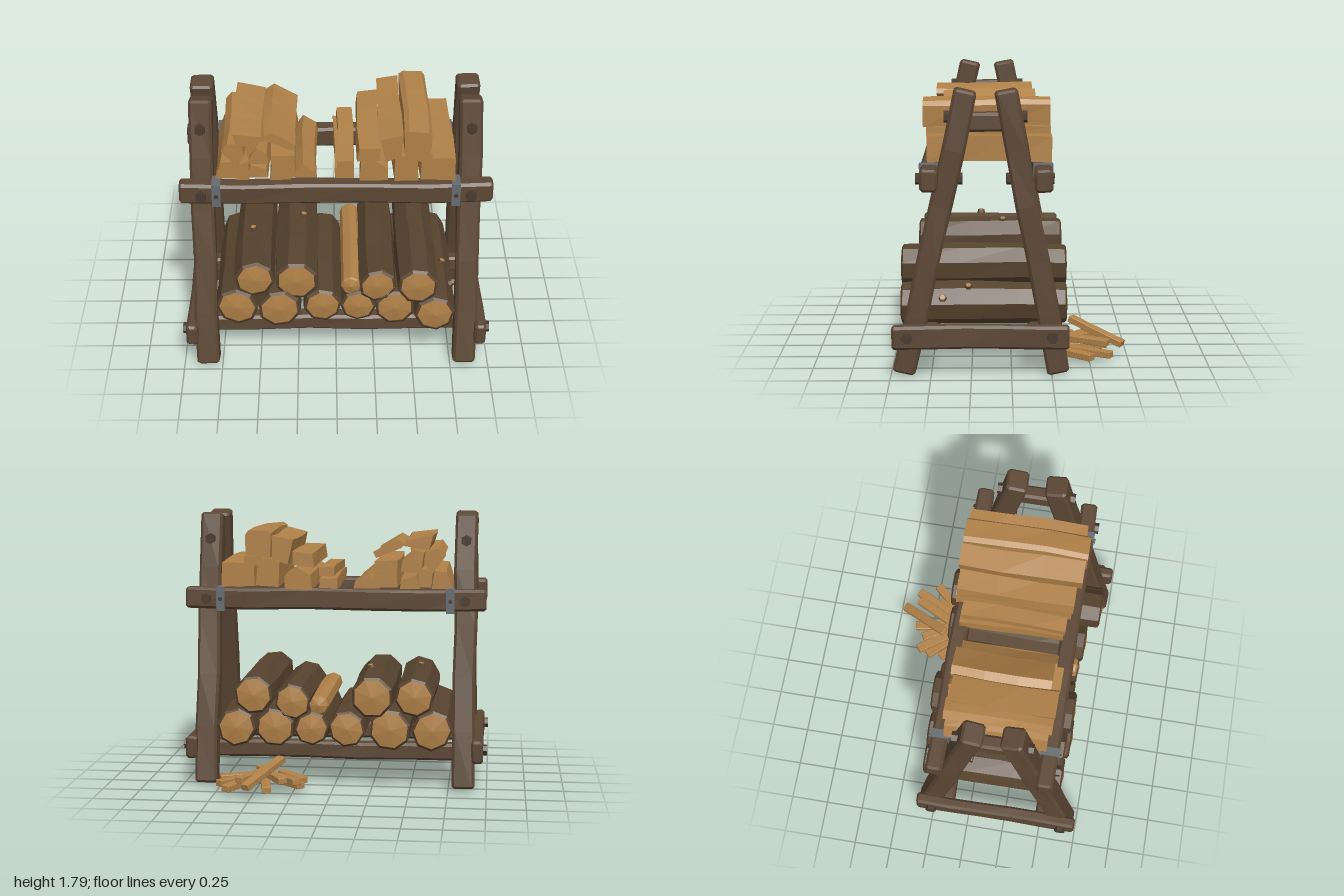
import * as THREE from 'three';

const mat = (name, color) => Object.assign(new THREE.MeshStandardMaterial({ color }), { name });
const frameWood = mat('frame wood', 0x5c4735);
const bark = mat('bark', 0x57432f);
const cutWood = mat('cut wood', 0xb08148);
const iron = mat('iron', 0x656b70);
const boltIron = mat('bolt', 0x483a2f);

// Faceted normals
function flat(geo) {
  const g = geo.index ? geo.toNonIndexed() : geo;
  g.computeVertexNormals();
  return g;
}

// Smooth position-based unevenness for hand-cut timber
function wobble(geo, amp, seed) {
  const p = geo.attributes.position;
  for (let i = 0; i < p.count; i++) {
    const x = p.getX(i), y = p.getY(i), z = p.getZ(i);
    p.setXYZ(i,
      x + amp * Math.sin(7 * z + 9 * y + seed),
      y + amp * Math.sin(6 * z + 11 * x + seed * 2.3),
      z);
  }
  return geo;
}

function add(parent, name, geo, material) {
  const m = new THREE.Mesh(flat(geo), material);
  m.name = name;
  parent.add(m);
  return m;
}

// Chamfered timber from a to b
function beam(parent, name, a, b, w, h, { c = 0.014, amp = 0.005, seed = 0, hint = [0, 1, 0], material = frameWood } = {}) {
  const A = new THREE.Vector3(...a), B = new THREE.Vector3(...b);
  const L = A.distanceTo(B), x = w / 2 - c, y = h / 2 - c, k = c * 0.6;
  const s = new THREE.Shape([
    [-x + k, -y], [x - k, -y], [x, -y + k], [x, y - k], [x - k, y], [-x + k, y], [-x, y - k], [-x, -y + k],
  ].map(q => new THREE.Vector2(...q)));
  const geo = new THREE.ExtrudeGeometry(s, { depth: L - 2 * c, steps: 5, bevelEnabled: true, bevelSegments: 1, bevelSize: c, bevelThickness: c });
  geo.translate(0, 0, c - L / 2);
  const m = add(parent, name, wobble(geo, amp, seed), material);
  m.quaternion.setFromRotationMatrix(new THREE.Matrix4().lookAt(B, A, new THREE.Vector3(...hint)));
  m.position.copy(A).add(B).multiplyScalar(0.5);
  return m;
}

// Hexagonal bolt head along x or z
function bolt(parent, axis, x, y, z, r = 0.036, len = 0.05, material = boltIron) {
  const g = new THREE.CylinderGeometry(r, r, len, 6);
  if (axis === 'x') g.rotateZ(Math.PI / 2); else g.rotateX(Math.PI / 2);
  add(parent, 'bolt', g, material).position.set(x, y, z);
}

function buildFrame() {
  const g = new THREE.Group();
  g.name = 'frame';
  for (const s of [-1, 1]) {
    const x = 0.845 * s;
    // Leaning legs, tie and foot rail at each end
    beam(g, 'frontLeg', [x, 0.015, 0.67], [x, 1.775, 0.275], 0.145, 0.14, { hint: [0, 0, 1], seed: s });
    beam(g, 'rearLeg', [x, 0.015, -0.295], [x, 1.775, 0.037], 0.145, 0.14, { hint: [0, 0, 1], seed: s + 2 });
    beam(g, 'topTie', [x, 1.585, 0.33], [x, 1.585, -0.03], 0.09, 0.115, { amp: 0.002 });
    beam(g, 'footRail', [0.935 * s, 0.262, 0.74], [0.935 * s, 0.262, -0.355], 0.075, 0.148, { amp: 0.004, seed: s });
    bolt(g, 'z', x, 1.615, 0.385);
    bolt(g, 'z', x, 1.615, -0.07);
    bolt(g, 'z', x, 1.235, 0.562);
    bolt(g, 'z', x, 1.235, -0.235);
    bolt(g, 'z', x, 1.235, 0.325);
    bolt(g, 'z', x, 1.235, 0.008);
    bolt(g, 'x', 0.975 * s, 0.265, 0.645);
    bolt(g, 'x', 0.975 * s, 0.265, -0.25);
    // Iron straps around the upper rails
    for (const [z, dir] of [[0.507, 1], [-0.195, -1]]) {
      add(g, 'strap', new THREE.BoxGeometry(0.055, 0.156, 0.122), iron).position.set(0.75 * s, 1.235, z);
      bolt(g, 'z', 0.75 * s, 1.235, z + dir * 0.063, 0.014, 0.016, boltIron);
    }
  }
  // Long rails
  beam(g, 'frontUpperRail', [-0.983, 1.238, 0.507], [0.983, 1.238, 0.507], 0.108, 0.138, { seed: 1 });
  beam(g, 'rearUpperRail', [-0.983, 1.238, -0.195], [0.983, 1.238, -0.195], 0.108, 0.138, { seed: 3 });
  beam(g, 'frontLowerRail', [-0.9, 0.228, 0.51], [0.9, 0.228, 0.51], 0.1, 0.112, { seed: 4 });
  beam(g, 'rearLowerRail', [-0.9, 0.228, -0.155], [0.9, 0.228, -0.155], 0.1, 0.112, { seed: 5 });
  return g;
}

// Eight-sided log with bark rim and slightly domed cut ends
function log(parent, [x, y, r, z0, z1, skin = bark], i) {
  const g = new THREE.Group();
  g.name = 'log';
  const h = (z1 - z0) / 2, e = 0.86 * r;
  const turn = (pts, name, m) => {
    const geo = new THREE.LatheGeometry(pts.map(p => new THREE.Vector2(...p)), 8, i * 0.5);
    geo.rotateX(Math.PI / 2);
    add(g, name, wobble(geo, r * 0.035, i * 1.7), m);
  };
  turn([[e, 0.012 - h], [e, -h], [r * 0.97, 0.012 - h], [r, -h * 0.4], [r * 1.03, h * 0.3], [r, h - 0.012], [e, h], [e, h - 0.012]], 'logSkin', skin);
  turn([[0, -h - 0.008], [e, 0.008 - h]], 'rearCut', cutWood);
  turn([[e, h - 0.008], [0, h + 0.008]], 'frontCut', cutWood);
  g.position.set(x, y, (z0 + z1) / 2);
  parent.add(g);
}

// Sawn-off branch stub: angle is measured from straight up
function knot(parent, x, y, r, z, angle) {
  const g = new THREE.Group();
  g.name = 'knot';
  add(g, 'stub', new THREE.CylinderGeometry(0.022, 0.032, 0.05, 6), bark).position.y = r;
  add(g, 'stubCut', new THREE.CylinderGeometry(0.017, 0.019, 0.008, 6), cutWood).position.y = r + 0.026;
  g.position.set(x, y, z);
  g.rotation.z = angle;
  parent.add(g);
}

function buildLogs() {
  const g = new THREE.Group();
  g.name = 'logStack';
  [
    [-0.645, 0.40, 0.138, -0.34, 0.61], [-0.365, 0.397, 0.142, -0.34, 0.63],
    [-0.09, 0.405, 0.125, -0.34, 0.60], [0.14, 0.395, 0.117, -0.32, 0.60],
    [0.385, 0.40, 0.133, -0.33, 0.62], [0.64, 0.402, 0.132, -0.35, 0.695],
    [-0.53, 0.61, 0.132, -0.33, 0.60], [-0.257, 0.617, 0.143, -0.35, 0.62],
    [0.10, 0.55, 0.067, -0.31, 0.59, cutWood], [0.27, 0.57, 0.122, -0.33, 0.62],
    [0.52, 0.622, 0.132, -0.35, 0.695],
  ].forEach((d, i) => log(g, d, i));
  knot(g, -0.53, 0.61, 0.125, 0.2, 0.1);
  knot(g, -0.257, 0.617, 0.13, 0.05, -0.3);
  knot(g, 0.64, 0.402, 0.122, 0.27, -0.5);
  knot(g, 0.64, 0.402, 0.122, 0.43, -1.1);
  return g;
}

// Split billets: end outline in hundredths, extruded along z
function buildSplitWood() {
  const g = new THREE.Group();
  g.name = 'splitWood';
  const left = [
    [-76, 131, -72, 142, -64, 143, -62, 131], [-62, 131, -63, 141, -54, 144, -54, 131],
    [-55, 131, -53, 140, -43, 137, -42, 131], [-41, 131, -40, 143, -26, 142, -25, 136, -28, 131],
    [-29, 131, -21, 141, -13, 135, -12, 130], [-71, 152, -67, 157, -58, 156, -57, 148, -62, 140],
    [-56, 141, -49, 153, -43, 148, -42, 141], [-64, 165, -46, 162, -44, 159, -61, 155],
    [-45, 160, -40, 163, -25, 154, -27, 150, -43, 157], [-41, 143, -41, 149, -26, 149, -26, 143],
    [-57, 154, -48, 158, -49, 153, -56, 144],
  ];
  const right = [
    [-1, 130, -1, 138, 11, 137, 11, 130], [1, 138, 1, 144, 11, 144, 11, 138],
    [15, 130, 16, 140, 24, 145, 33, 139, 33, 131], [13, 145, 14, 154, 27, 155, 27, 146],
    [27, 162, 41, 165, 40, 150, 30, 146], [42, 167, 45, 169, 57, 168, 59, 165, 58, 152, 42, 151],
    [36, 132, 36, 148, 40, 150, 50, 150, 51, 132], [52, 132, 53, 147, 74, 148, 74, 132],
    [49, 152, 60, 152, 60, 146, 50, 146],
  ];
  const frontZ = [0.47, 0.48, 0.50, 0.51, 0.54, 0.55, 0.52, 0.52, 0.53];
  const rearZ = [-0.2, -0.19, -0.25, -0.24, -0.25, -0.245, -0.25, -0.25, -0.24];
  const billet = (name, o, z0, z1, seed) => {
    const pts = [];
    for (let i = 0; i < o.length; i += 2) pts.push(new THREE.Vector2(o[i] / 100, o[i + 1] / 100));
    const geo = new THREE.ExtrudeGeometry(new THREE.Shape(pts), { depth: z1 - z0, steps: 3, bevelEnabled: false });
    geo.translate(0, 0, z0);
    add(g, name, wobble(geo, 0.006, seed), cutWood);
  };
  left.forEach((o, i) => billet('wedgeBillet', o, -0.17 + 0.015 * Math.sin(i * 2), 0.48 + 0.03 * Math.sin(i * 3), i));
  right.forEach((o, i) => billet('squareBillet', o, rearZ[i], frontZ[i], i * 0.7));
  return g;
}

// Loose kindling on the ground at the back
function buildKindling() {
  const g = new THREE.Group();
  g.name = 'kindling';
  [
    [0.21, 0.10, -0.57, 0.36, 0.08, -0.36], [0.19, 0.055, -0.5, 0.38, 0.055, -0.30],
    [0.52, 0.09, -0.72, 0.33, 0.21, -0.39], [0.66, 0.06, -0.64, 0.52, 0.06, -0.36],
    [0.73, 0.06, -0.51, 0.59, 0.06, -0.35], [0.40, 0.055, -0.62, 0.47, 0.055, -0.25],
    [0.62, 0.05, -0.48, 0.42, 0.05, -0.2], [0.58, 0.11, -0.62, 0.41, 0.12, -0.30],
    [0.30, 0.10, -0.55, 0.5, 0.10, -0.22], [0.75, 0.05, -0.33, 0.44, 0.06, -0.22],
    [0.18, 0.07, -0.4, 0.36, 0.08, -0.24],
  ].forEach((s, i) => beam(g, 'stick', s.slice(0, 3), s.slice(3), 0.06, 0.042, { c: 0.003, amp: 0.003, seed: i, material: cutWood }));
  return g;
}

export function createModel() {
  const model = new THREE.Group();
  model.name = 'firewoodRack';
  model.add(buildFrame(), buildLogs(), buildSplitWood(), buildKindling());
  return model;
}
